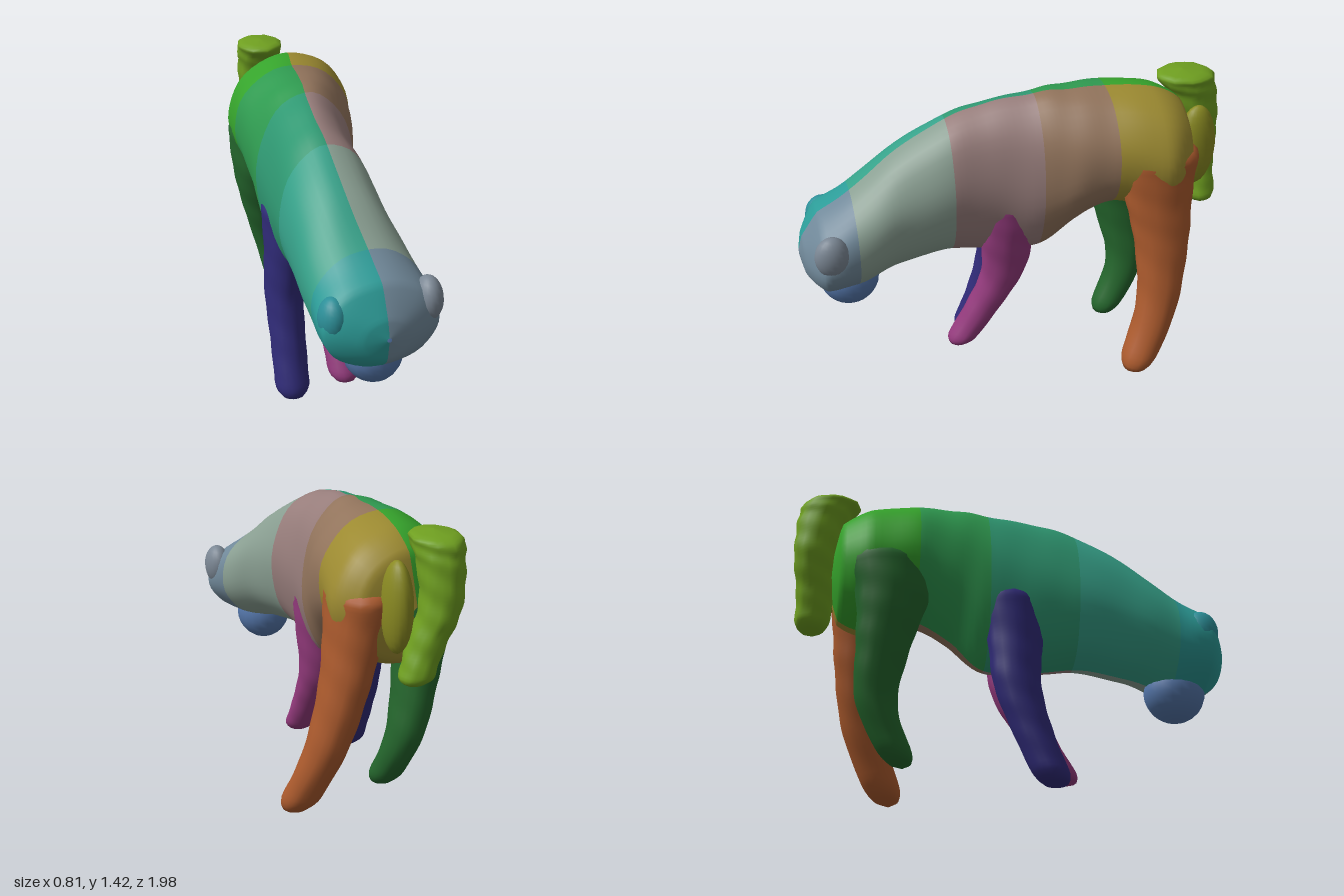
import * as THREE from 'three';

// Closed loft. section(t) gives the ring centre c and its two radii a, b for t = 0..1.
// Upright lofts have level rings and run downwards; the others run from front to back.
function loft(section, rings, segs, upright, bump) {
  const pos = [], index = [];
  for (let i = 0; i <= rings; i++) {
    const { c, a, b } = section(i / rings);
    for (let j = 0; j < segs; j++) {
      const w = (j / segs) * Math.PI * 2;
      // gentle uneven skin
      const k = 1 + bump * Math.sin(3 * w + i * 0.5) * Math.cos(5 * w - i * 0.31);
      const u = a * k * Math.cos(w), v = b * k * Math.sin(w);
      pos.push(c.x + u, upright ? c.y : c.y + v, upright ? c.z - v : c.z);
    }
  }
  for (let i = 0; i < rings; i++) {
    for (let j = 0; j < segs; j++) {
      const p = i * segs + j, q = i * segs + (j + 1) % segs;
      index.push(p, p + segs, q, q, p + segs, q + segs);
    }
  }
  const g = new THREE.BufferGeometry();
  g.setAttribute('position', new THREE.Float32BufferAttribute(pos, 3));
  g.setIndex(index);
  g.computeVertexNormals();
  return g;
}

const curve = points => new THREE.CatmullRomCurve3(points.map(p => new THREE.Vector3(...p)));

function addMesh(group, name, geometry, color) {
  const mesh = new THREE.Mesh(geometry, new THREE.MeshStandardMaterial({ color }));
  mesh.name = name;
  group.add(mesh);
  return mesh;
}

function addBlob(group, name, [x, y, z], [rx, ry, rz], color) {
  const g = new THREE.SphereGeometry(1, 20, 14);
  g.scale(rx, ry, rz);
  addMesh(group, name, g, color).position.set(x, y, z);
}

// Limb along a path: tapers from the top radii to the foot radius, rounded at both ends
function addLimb(group, name, color, path, [topX, topZ], foot, bump) {
  const line = curve(path), round = 0.08;
  const section = t => {
    const s = Math.max(0, 1 - Math.min(t, 1 - t) / round);
    const end = Math.sqrt(1 - s * s), taper = (1 - t) ** 1.5;
    return {
      c: line.getPoint(t),
      a: end * (foot + (topX - foot) * taper),
      b: end * (foot + (topZ - foot) * taper),
    };
  };
  addMesh(group, name, loft(section, 50, 20, true, bump), color);
}

// Head and trunk: one smooth skin, cut into coloured left and right regions
function addTrunk(group) {
  // z, top, bottom, min x, max x
  const rows = [
    [1.0, 0.72, 0.7, -0.17, -0.15],
    [0.98, 0.79, 0.61, -0.27, -0.05],
    [0.9, 0.91, 0.54, -0.41, 0.1],
    [0.75, 1.0, 0.54, -0.41, 0.09],
    [0.55, 1.15, 0.59, -0.41, 0.05],
    [0.3, 1.29, 0.62, -0.4, 0.04],
    [0.1, 1.35, 0.59, -0.385, 0.04],
    [-0.1, 1.385, 0.6, -0.38, 0.09],
    [-0.25, 1.4, 0.74, -0.38, 0.14],
    [-0.42, 1.405, 0.84, -0.385, 0.18],
    [-0.62, 1.395, 0.8, -0.36, 0.24],
    [-0.76, 1.32, 0.85, -0.28, 0.18],
    [-0.82, 1.1, 1.05, -0.08, -0.04],
  ];
  const steps = 7, segs = 40;
  const line = curve(rows.map(([z, y1, y0, x0, x1]) => [(x0 + x1) / 2, (y0 + y1) / 2, z]));
  const size = curve(rows.map(([, y1, y0, x0, x1]) => [(x1 - x0) / 2, (y1 - y0) / 2, 0]));
  const section = t => {
    const r = size.getPoint(t);
    return { c: line.getPoint(t), a: r.x, b: r.y };
  };
  const skin = loft(section, (rows.length - 1) * steps, segs, false, 0.012);
  const faces = Array.from(skin.index.array);

  // name, last section, left (+x) colour, right (-x) colour
  let first = 0;
  for (const [name, last, ...colors] of [
    ['head', 3, 0x71899a, 0x2c9c98],
    ['neck', 5, 0x8a9f92, 0x36a189],
    ['chest', 7, 0x977d7b, 0x2f9872],
    ['belly', 9, 0x92745c, 0x2f9a50],
    ['hindquarters', 12, 0x9c8a31, 0x36a42c],
  ]) {
    const sides = [[], []];
    for (let i = first * steps; i < last * steps; i++) {
      for (let j = 0; j < segs; j++) {
        const start = (i * segs + j) * 6;
        const right = j >= segs / 4 && j < segs * 3 / 4;
        sides[right ? 1 : 0].push(...faces.slice(start, start + 6));
      }
    }
    sides.forEach((part, s) => {
      const g = skin.clone();
      g.setIndex(part);
      addMesh(group, name + (s ? 'Right' : 'Left'), g, colors[s]);
    });
    first = last;
  }
}

export function createModel() {
  const model = new THREE.Group();
  model.name = 'standingAnimal';

  addTrunk(model);

  // Muzzle and ears
  addBlob(model, 'muzzle', [-0.15, 0.55, 0.78], [0.13, 0.14, 0.14], 0x5577ab);
  addBlob(model, 'rightEar', [-0.35, 0.77, 0.86], [0.065, 0.1, 0.08], 0x2c8f98);
  addBlob(model, 'leftEar', [0.06, 0.8, 0.87], [0.06, 0.1, 0.08], 0x7b8794);

  // Hind legs
  addLimb(model, 'leftHindLeg', 0xab5a2d, [[0.1, 1.2, -0.62], [0.13, 0.95, -0.62],
    [0.18, 0.7, -0.63], [0.25, 0.42, -0.6], [0.335, 0.1, -0.47]], [0.13, 0.2], 0.085, 0.025);
  addLimb(model, 'rightHindLeg', 0x24652c, [[-0.25, 1.12, -0.55], [-0.255, 0.88, -0.53],
    [-0.22, 0.65, -0.56], [-0.165, 0.4, -0.575], [-0.12, 0.12, -0.45]], [0.13, 0.21], 0.075, 0.025);

  // Front legs
  addLimb(model, 'leftFrontLeg', 0x933a7c, [[-0.06, 0.95, 0.02], [-0.065, 0.73, 0.04],
    [-0.08, 0.5, 0.06], [-0.087, 0.3, 0.16], [-0.09, 0.095, 0.29]], [0.11, 0.16], 0.073, 0.025);
  addLimb(model, 'rightFrontLeg', 0x302b78, [[-0.29, 0.95, 0], [-0.29, 0.7, 0.02],
    [-0.3, 0.47, 0.03], [-0.305, 0.24, 0.1], [-0.315, 0, 0.2]], [0.1, 0.15], 0.08, 0.025);

  // Hanging tail and the skin ridge beside it
  addLimb(model, 'tail', 0x6f9f20, [[-0.14, 1.42, -0.8], [-0.14, 1.31, -0.85],
    [-0.13, 1.12, -0.88], [-0.07, 0.95, -0.87], [-0.01, 0.79, -0.88]], [0.11, 0.14], 0.075, 0.06);
  addBlob(model, 'rumpRidge', [0.04, 1.12, -0.82], [0.06, 0.2, 0.09], 0x8a8a22);
  return model;
}
